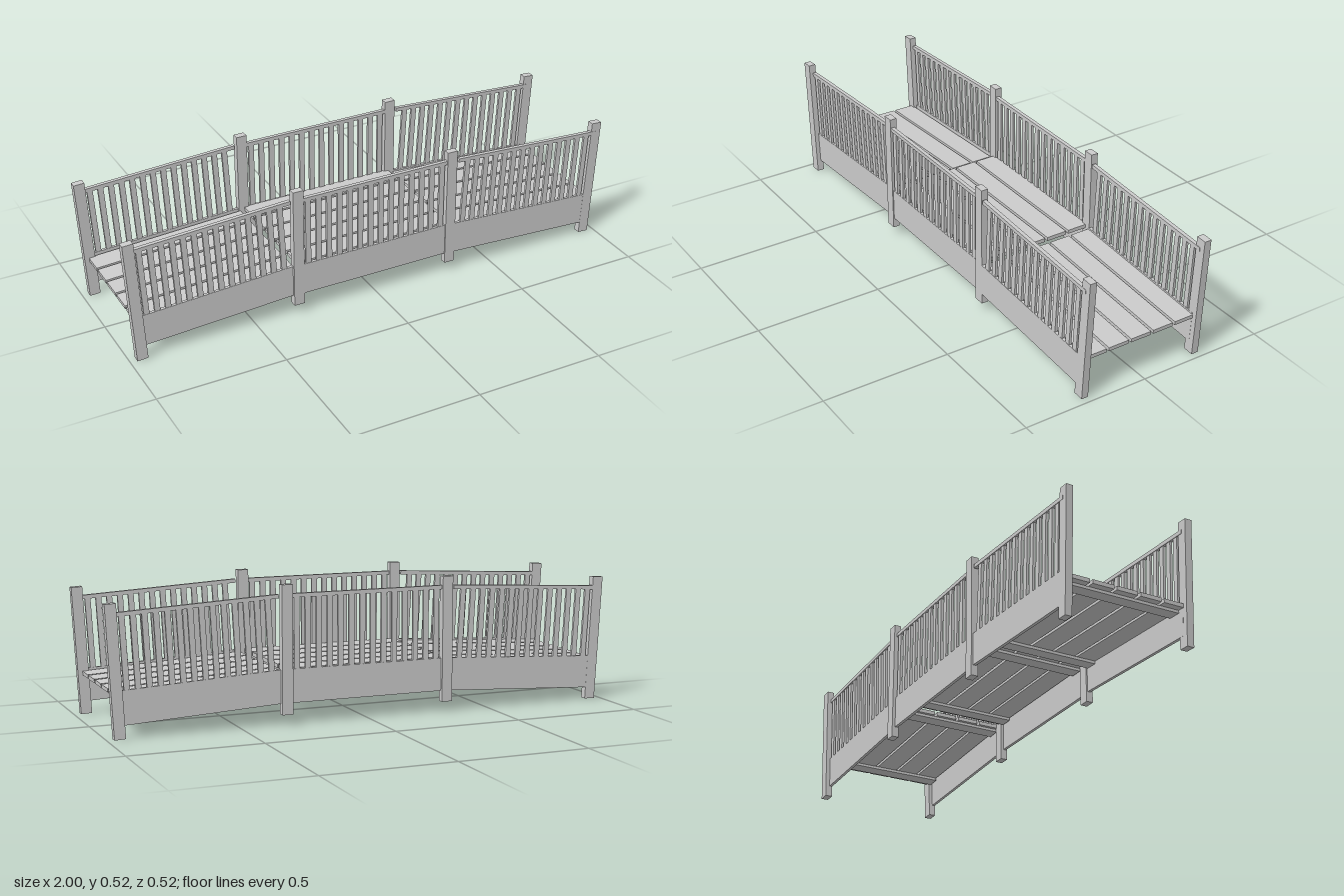
import * as THREE from 'three';

const mat = new THREE.MeshStandardMaterial({ color: 0xcccccc, flatShading: true });

// Box given by its min and max corners
function box(parent, name, x0, x1, y0, y1, z0, z1) {
  const mesh = new THREE.Mesh(new THREE.BoxGeometry(x1 - x0, y1 - y0, z1 - z0), mat);
  mesh.name = name;
  mesh.position.set((x0 + x1) / 2, (y0 + y1) / 2, (z0 + z1) / 2);
  parent.add(mesh);
}

const posts = [[0.226, 0.253], [-0.258, -0.23]]; // z ranges of front and back posts

function addPosts(parent, name, x, y0, y1) {
  for (const [z0, z1] of posts) box(parent, name, x - 0.021, x + 0.021, y0, y1, z0, z1);
}

// Skirt board, balusters and handrail between two x positions
function fence(parent, x0, x1, z) {
  const g = new THREE.Group();
  g.name = 'fence';
  box(g, 'skirtBoard', x0, x1, 0.081, 0.207, z - 0.006, z + 0.006);
  box(g, 'handrail', x0, x1, 0.47, 0.485, z - 0.0075, z + 0.0075);
  const count = 14;
  const pitch = (x1 - x0) / (count + 1);
  for (let i = 1; i <= count; i++) {
    const x = x0 + i * pitch;
    box(g, 'baluster', x - 0.0108, x + 0.0108, 0.2, 0.475, z - 0.005, z + 0.005);
  }
  parent.add(g);
}

// Five planks on two cross beams
function deck(parent, x0, x1, top, beams) {
  const g = new THREE.Group();
  g.name = 'deck';
  for (let i = -2; i <= 2; i++) {
    const z = i * 0.0955 - 0.002;
    box(g, 'plank', x0, x1, top - 0.015, top, z - 0.0425, z + 0.0425);
  }
  for (const x of beams) {
    box(g, 'crossBeam', x - 0.026, x + 0.026, top - 0.026, top - 0.0152, -0.232, 0.232);
  }
  parent.add(g);
}

// Sloping end section, pivoted at the inner posts
function endSection(name) {
  const pivot = new THREE.Group();
  pivot.name = name;
  const g = new THREE.Group();
  g.name = 'slopedFrame';
  g.position.x = 0.325;
  g.rotation.z = -0.054;
  fence(g, 0, 0.627, 0.2465);
  fence(g, 0, 0.627, -0.2355);
  deck(g, 0.003, 0.63, 0.2, [0.04, 0.576]);
  addPosts(g, 'endPost', 0.627, 0.036, 0.52);
  pivot.add(g);
  return pivot;
}

export function createModel() {
  const model = new THREE.Group();
  model.name = 'footbridge';

  // Level middle section
  const middle = new THREE.Group();
  middle.name = 'middleSection';
  fence(middle, -0.325, 0.325, 0.243);
  fence(middle, -0.325, 0.325, -0.24);
  deck(middle, -0.32, 0.32, 0.21, [-0.267, 0.267]);
  for (const x of [-0.323, 0.323]) addPosts(middle, 'middlePost', x, 0.04, 0.52);
  model.add(middle);

  // Ramped ends; the right one is the left one turned half way round
  const left = endSection('leftRamp');
  const right = endSection('rightRamp');
  right.rotation.y = Math.PI;
  right.position.z = 0.002;
  model.add(left, right);
  return model;
}
